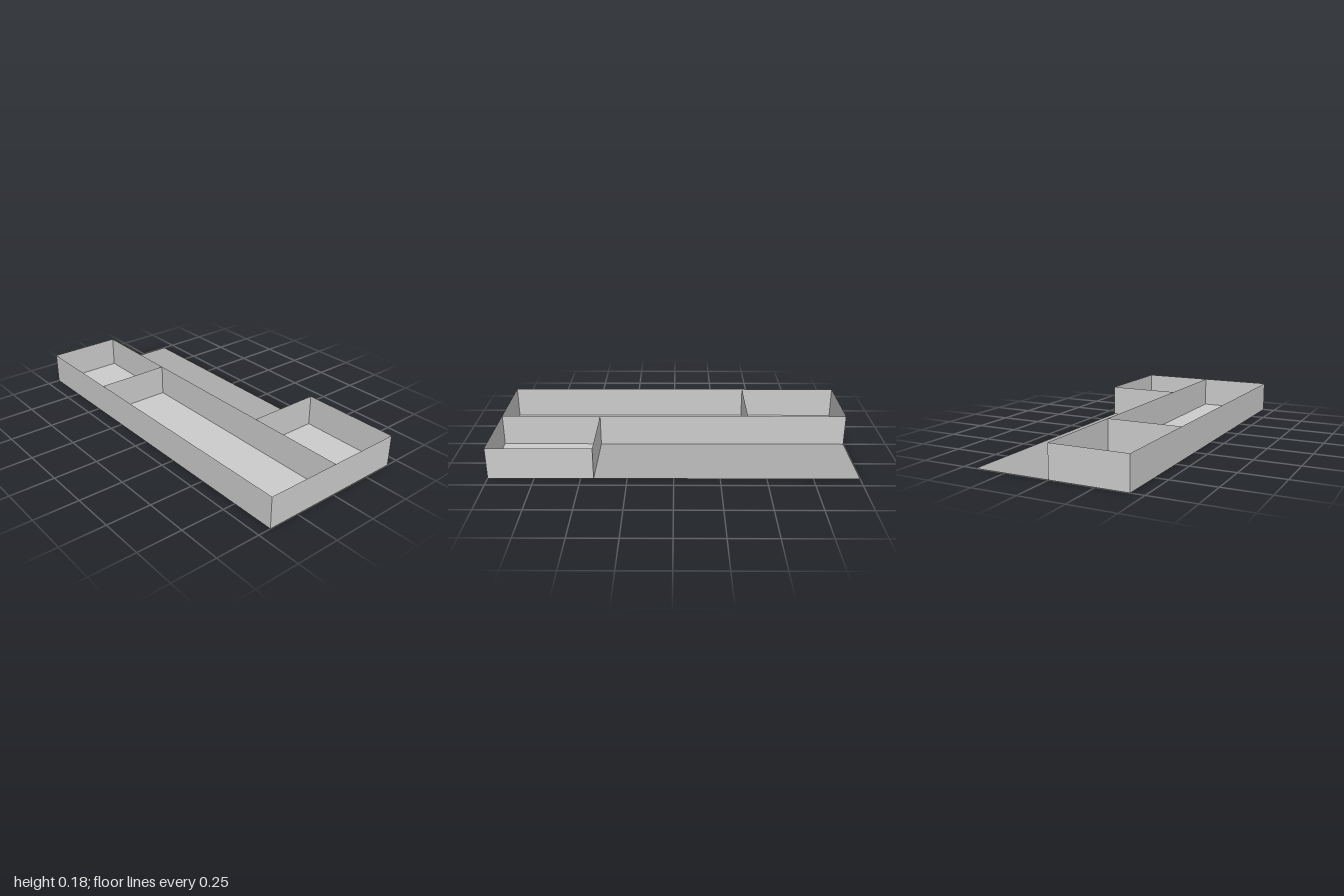
import * as THREE from 'three';

const W = 1, D = 0.427, H = 0.18, P = 0.43; // half width, half depth, wall height, partition offset

export function createModel() {
  const group = new THREE.Group();
  const grey = new THREE.MeshStandardMaterial({ color: 0xcccccc, side: THREE.DoubleSide });
  const dark = new THREE.MeshStandardMaterial({ color: 0xababab, side: THREE.DoubleSide });

  const add = (name, geometry, material = grey) => {
    const mesh = new THREE.Mesh(geometry, material);
    mesh.name = name;
    group.add(mesh);
  };

  // Thin upright wall between two plan points (x, z)
  const wall = (name, x0, z0, x1, z1) => {
    const geometry = new THREE.PlaneGeometry(Math.hypot(x1 - x0, z1 - z0), H);
    geometry.rotateY(-Math.atan2(z1 - z0, x1 - x0));
    geometry.translate((x0 + x1) / 2, H / 2, (z0 + z1) / 2);
    add(name, geometry);
  };

  // Thin floor panel over a plan rectangle
  const floor = (name, x0, z0, x1, z1, material) => {
    const geometry = new THREE.PlaneGeometry(x1 - x0, z1 - z0);
    geometry.rotateX(-Math.PI / 2);
    geometry.translate((x0 + x1) / 2, 0, (z0 + z1) / 2);
    add(name, geometry, material);
  };

  // Floors: front row, back room and the darker open terrace
  floor('frontFloor', -W, 0, W, D);
  floor('backRoomFloor', P, -D, W, 0);
  floor('terraceFloor', -W, -D, P, 0, dark);

  // Outer walls
  wall('frontWall', -W, D, W, D);
  wall('leftWall', W, D, W, -D);
  wall('rightWall', -W, 0, -W, D);
  wall('backRoomRearWall', W, -D, P, -D);

  // Inner walls
  wall('middleWall', -W, 0, W, 0);
  wall('frontPartition', -P, 0, -P, D);
  wall('backRoomSideWall', P, -D, P, 0);

  return group;
}
